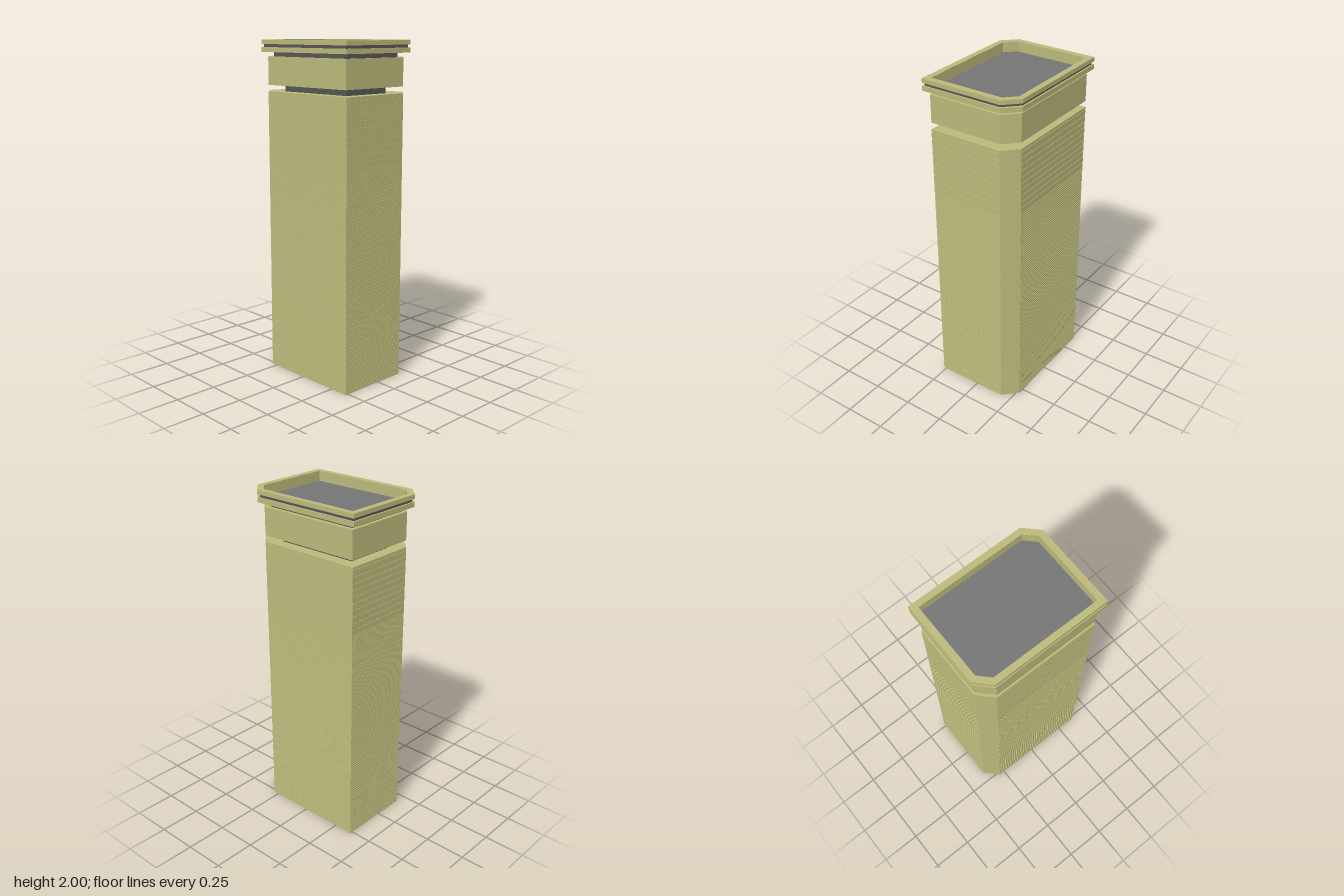
import * as THREE from 'three';
import { mergeGeometries } from 'three/addons/utils/BufferGeometryUtils.js';

// Rectangle in plan with two diagonally opposite corners cut at 45 degrees
function planPoints(a, b, c) {
  return [[-a + c, -b], [a, -b], [a, b - c], [a - c, b], [-a, b], [-a, -b + c]]
    .map(([x, y]) => new THREE.Vector2(x, y));
}

// Upright prism from y0 to y1, optionally with an opening of the same kind
function prism([a, b, c], y0, y1, opening) {
  const shape = new THREE.Shape(planPoints(a, b, c));
  if (opening) shape.holes.push(new THREE.Path(planPoints(...opening)));
  const geo = new THREE.ExtrudeGeometry(shape, { depth: y1 - y0, bevelEnabled: false });
  return geo.rotateX(-Math.PI / 2).translate(0, y0, 0);
}

export function createModel() {
  const group = new THREE.Group();
  const wall = new THREE.MeshStandardMaterial({ color: 0xbab879 });
  const dark = new THREE.MeshStandardMaterial({ color: 0x555555 });
  const roof = new THREE.MeshStandardMaterial({ color: 0x747474 });

  const add = (name, geo, material) => {
    const mesh = new THREE.Mesh(geo, material);
    mesh.name = name;
    group.add(mesh);
  };

  // Shaft: stacked bands parted by shallow grooves; the cut corners stay flush
  const full = [0.368, 0.268, 0.083];
  const d = 0.003;
  const grooved = [full[0] - d, full[1] - d, full[2] - 2 * d];
  const bands = (y0, y1, count, groove) => {
    const pitch = (y1 - y0) / count;
    const layers = [];
    for (let i = 0; i < count; i++) {
      const y = y0 + i * pitch;
      layers.push(prism(full, y, y + pitch - groove));
      layers.push(prism(grooved, y + pitch - groove, y + pitch));
    }
    return mergeGeometries(layers);
  };
  add('lowerShaft', bands(0, 1.31, 96, 0.004), wall);
  add('upperShaft', bands(1.31, 1.69, 10, 0.006), wall);
  add('shaftTop', prism(full, 1.69, 1.702), wall);

  // Recessed neck and crown block
  add('neck', prism([0.297, 0.197, 0.083], 1.702, 1.74), dark);
  add('crownBlock', prism([0.364, 0.268, 0.081], 1.74, 1.904), wall);
  add('upperNeck', prism([0.342, 0.242, 0.083], 1.904, 1.93), dark);

  // Cornice rings around the sunken roof
  const rim = [0.394, 0.294, 0.083];
  const opening = [0.357, 0.259, 0.062];
  add('lowerCornice', prism(rim, 1.93, 1.958, opening), wall);
  add('corniceGap', prism([0.384, 0.284, 0.083], 1.958, 1.975, opening), dark);
  add('parapet', prism(rim, 1.975, 2, opening), wall);
  add('parapetLining', prism(opening, 1.935, 1.999, [0.356, 0.258, 0.062]), wall);
  add('roofFloor', prism([0.357, 0.259, 0.062], 1.93, 1.94), roof);
  return group;
}
